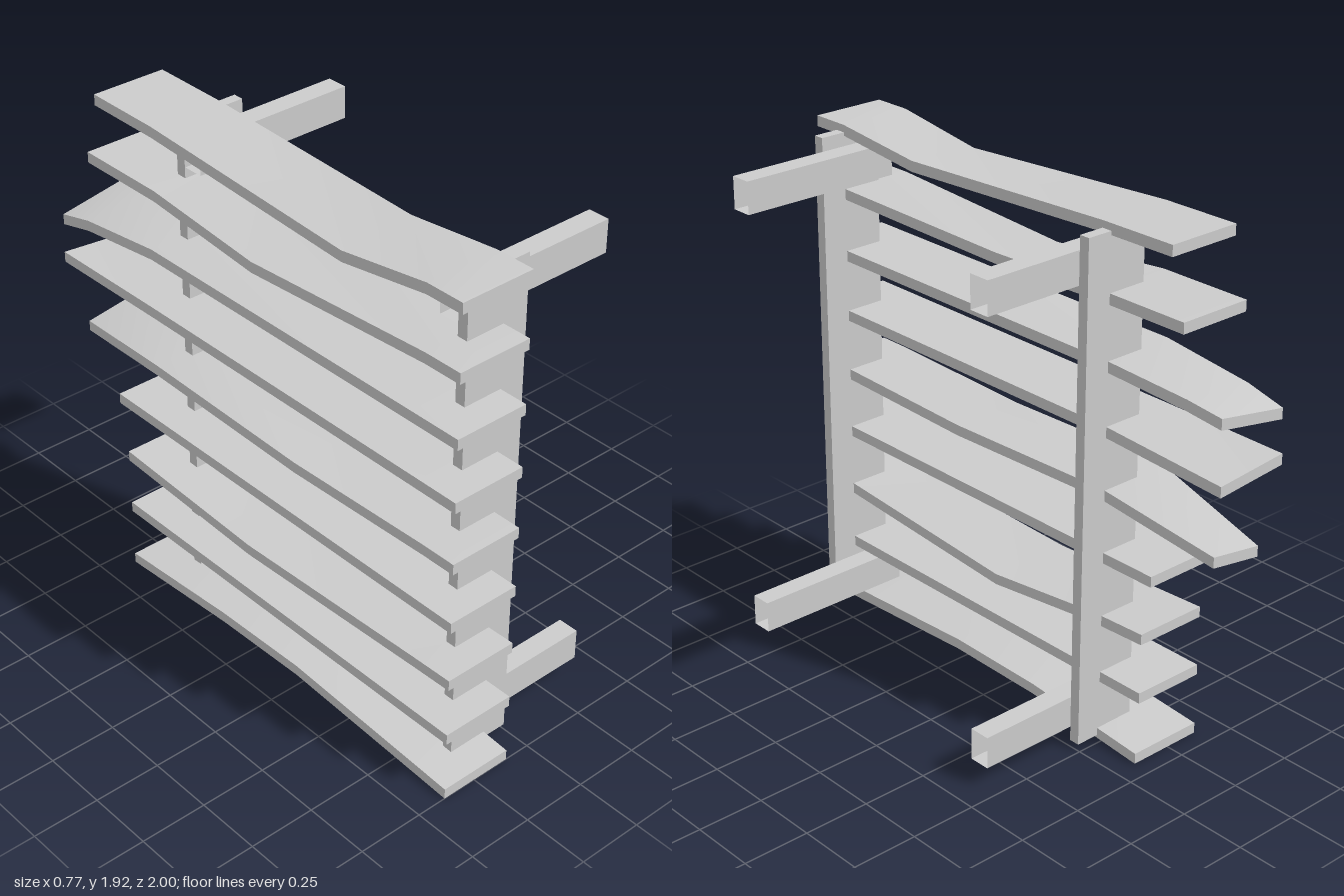
import * as THREE from 'three';
import { toCreasedNormals } from 'three/addons/utils/BufferGeometryUtils.js';

const OUTER = -0.385, INNER = -0.1, THICK = 0.04;

// Each slat: cross-sections [z, y of outer edge, y of inner edge, outer x, inner x]
const straight = (y, end) => [[1, y, y], [end, y, y]];
const SLATS = [
  [[1, 0.022, 0.022], [0.85, 0.032, 0.034], [0.25, 0.07, 0.064], [-0.15, 0.06, 0.057], [-0.68, 0.022, 0.022, OUTER, -0.09]],
  straight(0.26, -0.68),
  [[1, 0.49, 0.49], [0.85, 0.486, 0.486], [0, 0.455, 0.457, OUTER, -0.06], [-0.45, 0.478, 0.48], [-0.68, 0.49, 0.49]],
  straight(0.725, -0.715),
  [[1, 0.958, 0.958], [0.87, 0.958, 0.958], [0.25, 0.94, 0.94], [-0.48, 0.96, 0.96], [-0.95, 0.875, 0.915, -0.31, -0.2], [-0.985, 0.875, 0.907, -0.31, INNER]],
  [[1, 1.192, 1.192], [-0.48, 1.192, 1.192], [-1, 1.188, 1.163]],
  [[1, 1.425, 1.425], [-0.48, 1.425, 1.425], [-0.84, 1.382, 1.409], [-0.98, 1.345, 1.394]],
  [[1, 1.66, 1.66], [0.85, 1.66, 1.66], [0.05, 1.612, 1.645], [-0.45, 1.66, 1.66], [-0.815, 1.66, 1.66]],
  [[1, 1.898, 1.898], [0.85, 1.898, 1.898], [0.48, 1.842, 1.858], [-0.45, 1.896, 1.896], [-0.755, 1.898, 1.898]],
];
// End of the twisted slat is cut slightly askew
SLATS[4].splice(4, 1);
SLATS[6][3][0] = -0.99;

// Sweep a thin rectangle through the sections
function slatGeometry(sections) {
  const pos = [], idx = [];
  for (const [z, yo, yi, xo = OUTER, xi = INNER] of sections) {
    const h = THICK / 2;
    pos.push(xo, yo - h, z, xi, yi - h, z, xi, yi + h, z, xo, yo + h, z);
  }
  const last = (sections.length - 1) * 4;
  for (let s = 0; s < last; s += 4) {
    for (let i = 0; i < 4; i++) {
      const a = s + i, b = s + (i + 1) % 4;
      idx.push(a, a + 4, b, b, a + 4, b + 4);
    }
  }
  idx.push(0, 1, 2, 0, 2, 3, last, last + 2, last + 1, last, last + 3, last + 2);
  const geo = new THREE.BufferGeometry();
  geo.setAttribute('position', new THREE.Float32BufferAttribute(pos, 3));
  geo.setIndex(idx);
  return toCreasedNormals(geo, 0.5);
}

// Rectangular tube along x, open at both ends
function tubeGeometry(length, height, depth) {
  const geo = new THREE.BoxGeometry(length, height, depth).toNonIndexed();
  const open = new THREE.BufferGeometry();
  for (const key of ['position', 'normal']) {
    // the first two box sides are the +x and -x ends
    open.setAttribute(key, new THREE.BufferAttribute(geo.attributes[key].array.slice(36), 3));
  }
  return open;
}

export function createModel() {
  const group = new THREE.Group();
  const grey = new THREE.MeshStandardMaterial({ color: 0xcccccc });
  const greyOpen = new THREE.MeshStandardMaterial({ color: 0xcccccc, side: THREE.DoubleSide });
  const add = (name, geo, mat, x = 0, y = 0, z = 0) => {
    const mesh = new THREE.Mesh(geo, mat);
    mesh.name = name;
    mesh.position.set(x, y, z);
    group.add(mesh);
  };

  // Warped boards
  SLATS.forEach((s, i) => add(`slat${i + 1}`, slatGeometry(s), grey));

  // Two upright boards, each with two hollow beams on its inner face
  const postGeo = new THREE.BoxGeometry(0.25, 1.865, 0.04);
  const beamGeo = tubeGeometry(0.635, 0.12, 0.08);
  for (const [side, postZ, beamZ] of [['front', 0.87, 0.81], ['back', -0.47, -0.41]]) {
    add(`${side}Post`, postGeo, grey, -0.127, 0.958, postZ);
    add(`${side}LowerBeam`, beamGeo, greyOpen, 0.0675, 0.14, beamZ);
    add(`${side}UpperBeam`, beamGeo, greyOpen, 0.0675, 1.78, beamZ);
  }
  return group;
}
